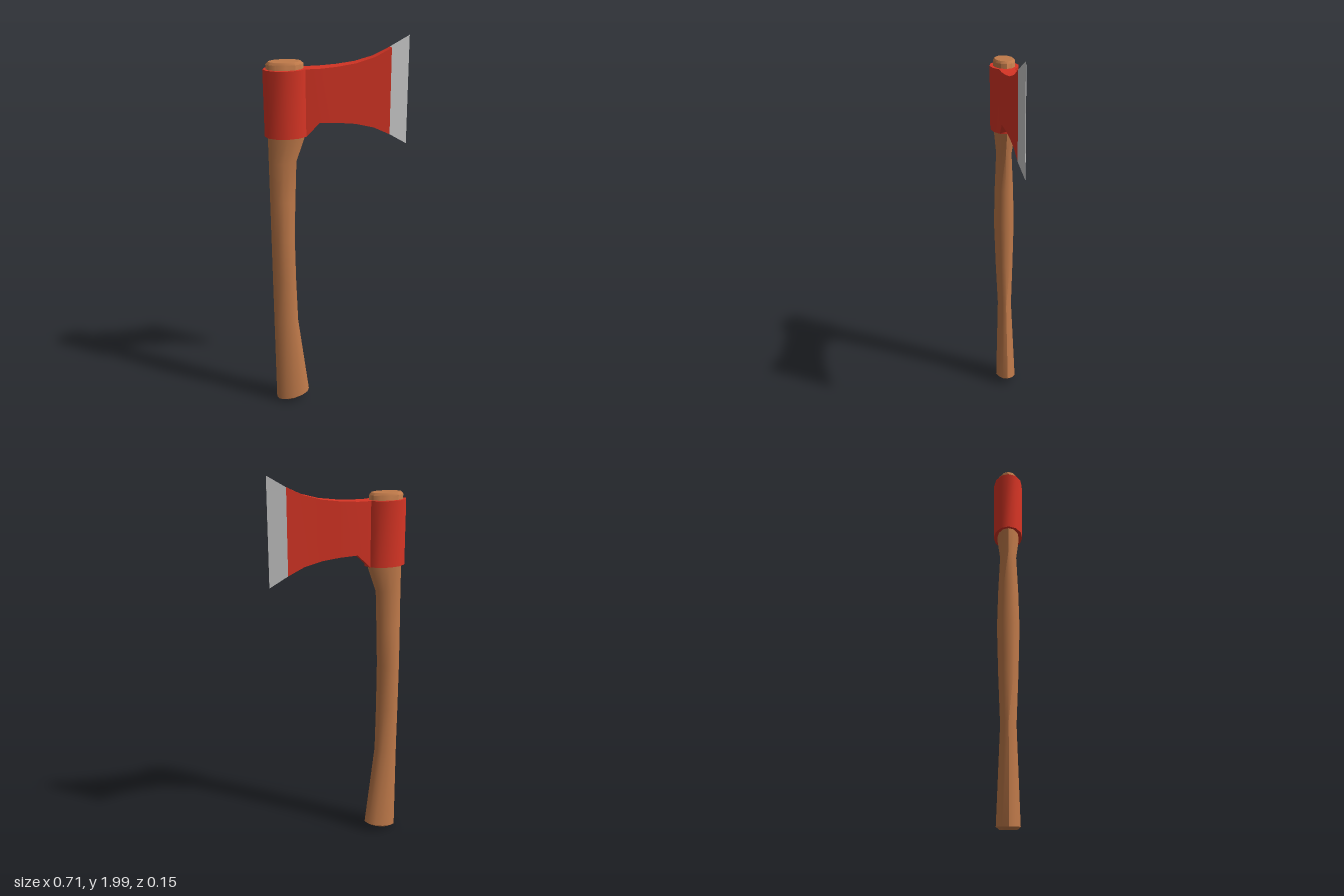
import * as THREE from 'three';
import { toCreasedNormals } from 'three/addons/utils/BufferGeometryUtils.js';

const SIDES = 12;

// Skin a row of cross-sections (equal point counts) and cap both ends
function loft(rings, crease) {
  const n = rings[0].length;
  const last = (rings.length - 1) * n;
  const index = [];
  for (let r = 0; r < rings.length - 1; r++) {
    for (let i = 0; i < n; i++) {
      const a = r * n + i, b = r * n + (i + 1) % n;
      index.push(a, a + n, b, b, a + n, b + n);
    }
  }
  for (let i = 1; i < n - 1; i++) {
    index.push(0, i, i + 1, last, last + i + 1, last + i);
  }
  const geo = new THREE.BufferGeometry();
  geo.setAttribute('position', new THREE.Float32BufferAttribute(rings.flat(2), 3));
  geo.setIndex(index);
  return toCreasedNormals(geo, crease);
}

// Horizontal oval section, optionally tilted so that +x is higher
function oval([y, xMin, xMax, halfZ, tilt = 0]) {
  const ring = [];
  for (let i = 0; i < SIDES; i++) {
    const a = (i / SIDES) * Math.PI * 2;
    const c = Math.cos(a);
    ring.push([(xMin + xMax) / 2 + (xMax - xMin) / 2 * c, y + tilt * c / 2, halfZ * Math.sin(a)]);
  }
  return ring;
}

// Rectangular section of the blade across x
const slab = ([x, bottom, top, h]) => [[x, top, h], [x, top, -h], [x, bottom, -h], [x, bottom, h]];

export function createModel() {
  const model = new THREE.Group();
  const add = (name, geometry, color) => {
    const mesh = new THREE.Mesh(geometry, new THREE.MeshStandardMaterial({ color }));
    mesh.name = name;
    model.add(mesh);
  };

  // Wooden handle: slanted butt, slim grip, swell below the head, bevelled top
  add('handle', loft([
    [0.022, -0.315, -0.18, 0.04, 0.03],
    [0.035, -0.34, -0.16, 0.055, 0.035],
    [0.5, -0.34, -0.212, 0.038],
    [0.75, -0.34, -0.218, 0.048],
    [1.0, -0.34, -0.22, 0.055],
    [1.2, -0.34, -0.212, 0.05],
    [1.4, -0.34, -0.203, 0.041],
    [1.52, -0.34, -0.16, 0.055],
    [1.885, -0.34, -0.16, 0.057],
    [1.897, -0.328, -0.172, 0.048],
  ].map(oval), 0.76), 0xc07a4a);

  // Collar around the handle
  add('headCollar', loft([
    [1.535, -0.355, -0.141, 0.074],
    [1.862, -0.355, -0.141, 0.074],
  ].map(oval), 0.8), 0xd83525);

  // Flaring blade body
  add('blade', loft([
    [-0.157, 1.535, 1.862, 0.038],
    [-0.09, 1.6, 1.862, 0.038],
    [0, 1.595, 1.868, 0.033],
    [0.09, 1.584, 1.88, 0.028],
    [0.18, 1.56, 1.905, 0.023],
    [0.262, 1.52, 1.945, 0.019],
  ].map(slab), 0.6), 0xd83525);

  // Sharpened steel edge
  add('cuttingEdge', loft([
    [0.262, 1.52, 1.945, 0.019],
    [0.352, 1.463, 2.0, 0.0005],
  ].map(slab), 0.3), 0xcccccc);

  return model;
}
